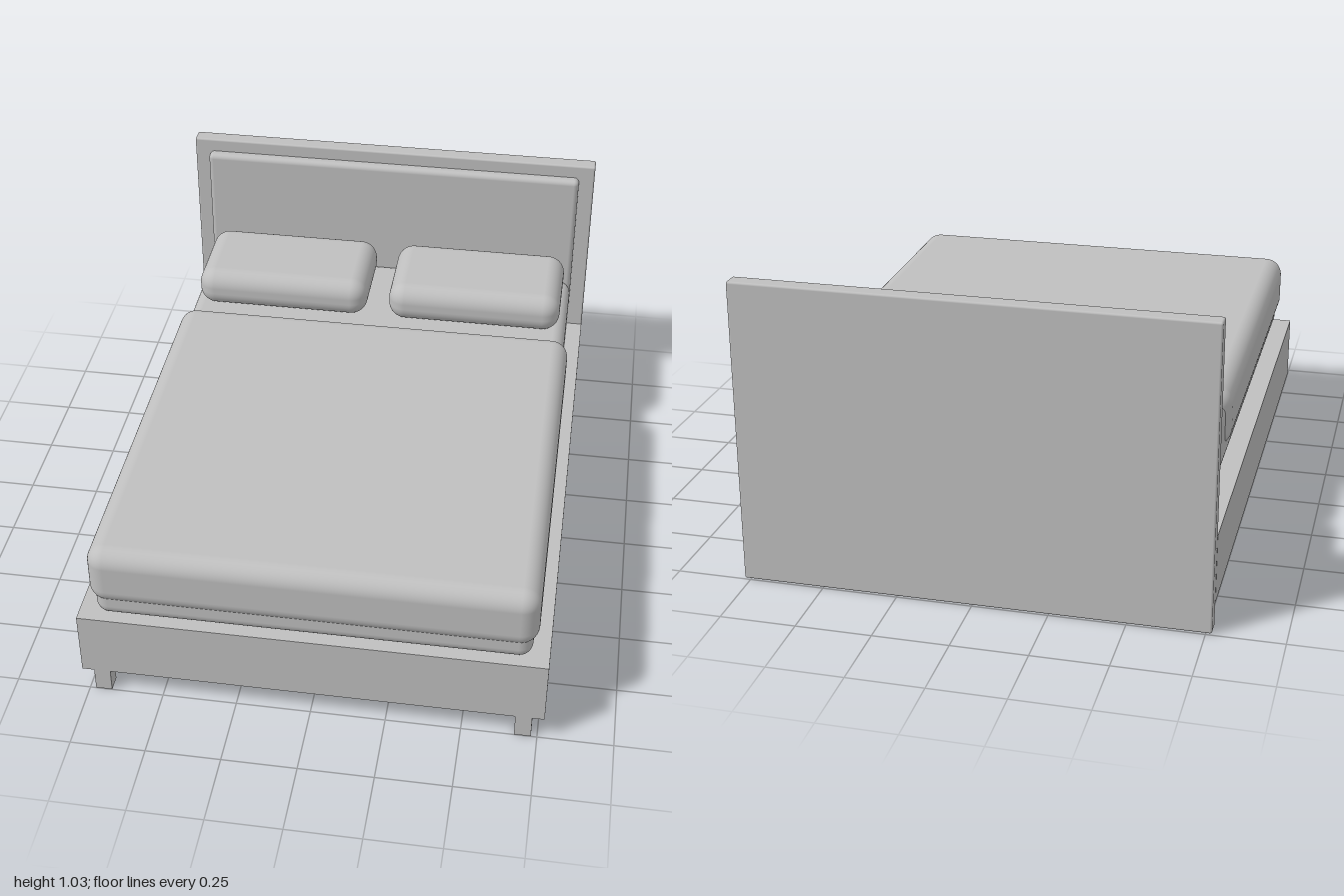
import * as THREE from 'three';
import { RoundedBoxGeometry } from 'three/addons/geometries/RoundedBoxGeometry.js';

export function createModel() {
  const group = new THREE.Group();
  group.name = 'bed';
  const grey = new THREE.MeshStandardMaterial({ color: 0xbfbfbf });
  grey.name = 'plain grey';

  // Block between two corners, rounded when a radius is given
  function block(name, min, max, radius = 0) {
    const [w, h, d] = max.map((v, i) => v - min[i]);
    const geometry = radius
      ? new RoundedBoxGeometry(w, h, d, 6, radius)
      : new THREE.BoxGeometry(w, h, d);
    const mesh = new THREE.Mesh(geometry, grey);
    mesh.name = name;
    mesh.position.set(...max.map((v, i) => (v + min[i]) / 2));
    group.add(mesh);
  }

  // Wooden base and headboard with its raised padded panel
  block('bedFrame', [-0.77, 0.085, -0.945], [0.77, 0.315, 1]);
  block('headboard', [-0.77, 0.003, -1], [0.77, 1.028, -0.943], 0.007);
  block('headboardPanel', [-0.713, 0.395, -0.955], [0.713, 0.98, -0.906], 0.018);

  // Bedding
  block('mattress', [-0.713, 0.313, -0.922], [0.713, 0.542, 0.975], 0.045);
  block('duvet', [-0.73, 0.372, -0.457], [0.73, 0.588, 0.99], 0.06);

  // Mirrored pillows and legs
  for (const [side, s] of [['left', 1], ['right', -1]]) {
    const span = (a, b) => (s > 0 ? [a, b] : [-b, -a]);
    const [p0, p1] = span(0.042, 0.686);
    block(side + 'Pillow', [p0, 0.54, -0.885], [p1, 0.685, -0.515], 0.062);
    const [l0, l1] = span(0.675, 0.73);
    block(side + 'FrontLeg', [l0, 0, 0.945], [l1, 0.086, 0.999]);
    block(side + 'BackLeg', [l0, 0, -0.942], [l1, 0.086, -0.885]);
  }
  return group;
}
